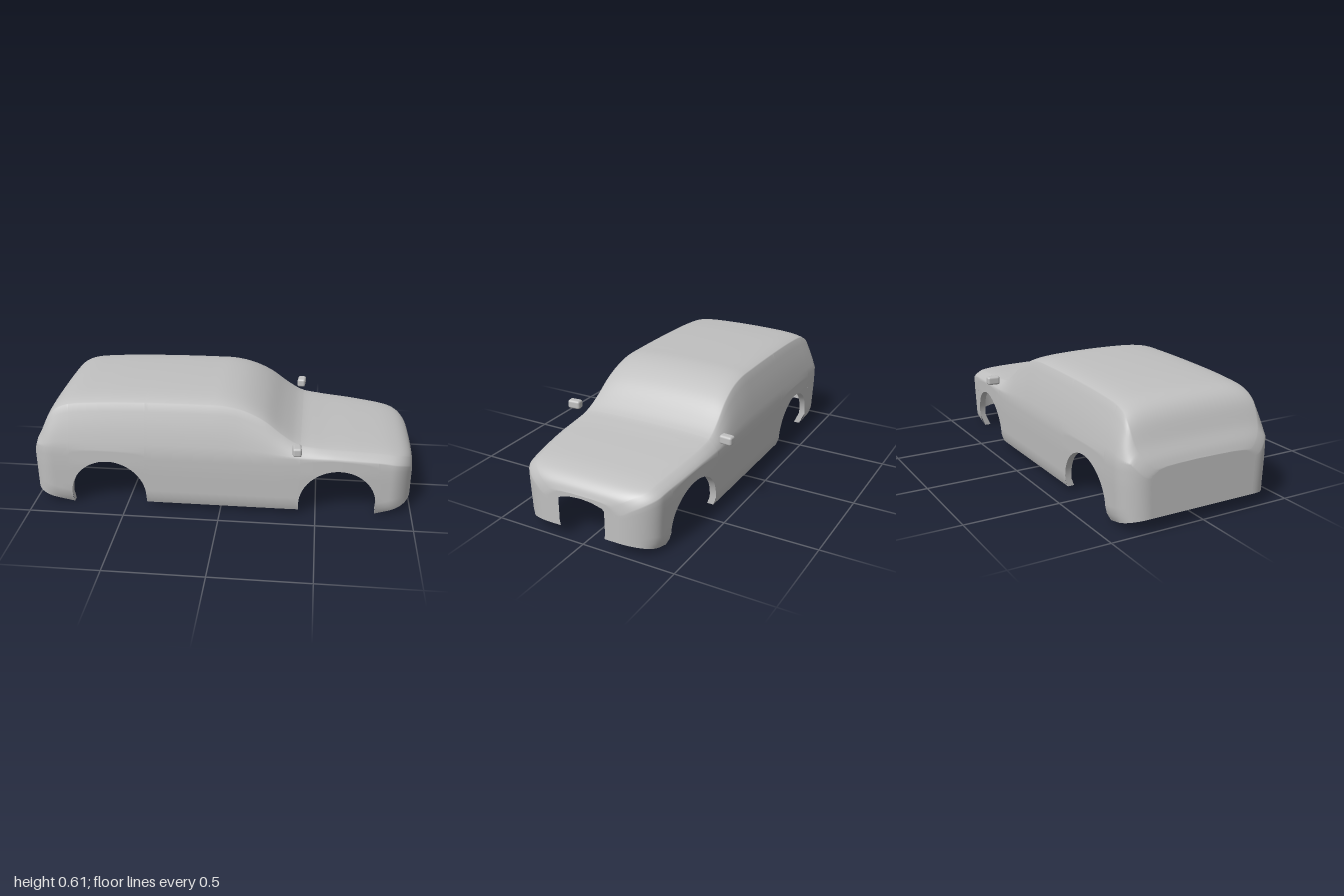
import * as THREE from 'three';
import { mergeGeometries, mergeVertices } from 'three/addons/utils/BufferGeometryUtils.js';
import { RoundedBoxGeometry } from 'three/addons/geometries/RoundedBoxGeometry.js';

// Side profile of the bonnet, windscreen, roof and tailgate: x, y
const PROFILE = new THREE.CatmullRomCurve3([
  [-1, 0.32], [-0.985, 0.355], [-0.95, 0.415], [-0.9, 0.52], [-0.86, 0.563], [-0.8, 0.59], [-0.65, 0.607],
  [-0.4, 0.617], [-0.1, 0.62], [0.02, 0.617], [0.12, 0.595], [0.22, 0.545], [0.32, 0.465], [0.4, 0.415],
  [0.5, 0.397], [0.7, 0.38], [0.88, 0.358], [0.95, 0.335], [0.985, 0.305], [1, 0.27],
].map(([x, y]) => new THREE.Vector3(x, y, 0)), false, 'centripetal').getPoints(400);

const ARCH_RADIUS = 0.2, ARCH_Y = 0.075, REAR_X = -0.59, FRONT_X = 0.61;
const clamp = THREE.MathUtils.clamp;

function topAt(x) {
  let i = 1;
  while (i < PROFILE.length - 1 && PROFILE[i].x < x) i++;
  const a = PROFILE[i - 1], b = PROFILE[i];
  return a.y + (b.y - a.y) * clamp((x - a.x) / (b.x - a.x), 0, 1);
}

// Half width in plan, with elliptical corners at both ends
function widthAt(x) {
  const e = clamp((Math.abs(x) - 0.88) / 0.12, 0, 1);
  const corner = (x > 0 ? 0.16 : 0.12) * (1 - Math.sqrt(1 - e * e));
  const taper = 0.045 * (Math.max(0, x - 0.3) / 0.6) ** 2;
  return 0.417 - taper - corner;
}

// Half width of the flank at a height; it tucks in near the ground
function flank(x, y) {
  return widthAt(x) - 0.05 * Math.max(0, 0.25 - y) - 0.5 * Math.max(0, 0.06 - y);
}

// Cross-section from the left bottom edge over the roof to the right bottom edge
function section({ x, y: bottom }) {
  const top = topAt(x), w = widthAt(x), belt = Math.min(0.34, top - 0.05);
  const k = clamp((top - 0.4) / 0.2, 0, 1);
  const edgeZ = w - 0.047 - 0.018 * k, crown = 0.015 + 0.015 * k;
  const half = [];
  for (let i = 0; i < 8; i++) {
    const y = bottom + (belt - bottom) * i / 8;
    half.push([flank(x, y), y]);
  }
  for (let i = 0; i < 6; i++) {
    const t = i / 6;
    half.push([w + (edgeZ - w) * t + 0.006 * Math.sin(Math.PI * t), belt + (top - crown - belt) * t]);
  }
  for (const s of [1, 0.98, 0.95, 0.91, 0.85, 0.75, 0.6, 0.4, 0.2, 0]) {
    half.push([edgeZ * s, top - crown * (0.4 * s ** 2 + 0.6 * s ** 8)]);
  }
  return [...half, ...half.slice(0, -1).reverse().map(([z, y]) => [-z, y])];
}

// Skin through a run of stations
function skin(stations) {
  const pos = [], idx = [];
  let n = 0;
  stations.forEach((st, i) => {
    const pts = section(st);
    n = pts.length;
    pts.forEach(([z, y]) => pos.push(st.x, y, z));
    if (i === 0) return;
    for (let j = 0; j < n - 1; j++) {
      const a = (i - 1) * n + j, b = a + n;
      idx.push(a, b, a + 1, b, b + 1, a + 1);
    }
  });
  const g = new THREE.BufferGeometry();
  g.setAttribute('position', new THREE.Float32BufferAttribute(pos, 3));
  g.setIndex(idx);
  return g;
}

// Flat end panel, with an optional cut-out rising from the bottom edge
function endPanel(station, cutout) {
  const pts = [...section(station), ...cutout].map(([z, y]) => new THREE.Vector2(z, y));
  const g = new THREE.ShapeGeometry(new THREE.Shape(pts));
  g.deleteAttribute('uv');
  g.deleteAttribute('normal');
  g.rotateY(Math.sign(station.x) * Math.PI / 2);
  g.translate(station.x, 0, 0);
  return g;
}

// Inward flange following a lower edge
function flange(stations, depth, side) {
  const pos = [], idx = [];
  stations.forEach(({ x, y }, i) => {
    const z = flank(x, y);
    pos.push(x, y, side * z, x, y, side * (z - depth));
    if (i === 0) return;
    const a = 2 * i - 2;
    if (side > 0) idx.push(a, a + 1, a + 2, a + 1, a + 3, a + 2);
    else idx.push(a, a + 2, a + 1, a + 1, a + 2, a + 3);
  });
  const g = new THREE.BufferGeometry();
  g.setAttribute('position', new THREE.Float32BufferAttribute(pos, 3));
  g.setIndex(idx);
  g.computeVertexNormals();
  return g;
}

const run = (n, fn) => Array.from({ length: n + 1 }, (_, i) => fn(i / n));

export function createModel() {
  const model = new THREE.Group();
  model.name = 'carBody';
  const paint = new THREE.MeshStandardMaterial({ color: 0xc0c0c0, side: THREE.DoubleSide });
  paint.name = 'grey paint';
  const add = (name, geometry) => {
    const mesh = new THREE.Mesh(geometry, paint);
    mesh.name = name;
    model.add(mesh);
    return mesh;
  };

  // Lower edge, from tail to nose
  const arch = (c) => run(28, (t) => ({
    x: c - ARCH_RADIUS * Math.cos(Math.PI * t), y: ARCH_Y + ARCH_RADIUS * Math.sin(Math.PI * t),
  }));
  const bumper = (end, inner) => run(24, (t) => {
    const e = 1 - Math.cos(t * Math.PI / 2);
    return { x: end + (inner - end) * e, y: 0.075 - 0.068 * Math.pow(e, 0.9) };
  });
  const rearEnd = bumper(-1, REAR_X - ARCH_RADIUS);
  const frontEnd = bumper(1, FRONT_X + ARCH_RADIUS).reverse();
  const rearArch = arch(REAR_X), frontArch = arch(FRONT_X);
  const sillStart = REAR_X + ARCH_RADIUS, sillEnd = FRONT_X - ARCH_RADIUS;
  const sill = run(36, (t) => ({ x: sillStart + (sillEnd - sillStart) * t, y: 0.035 }));

  // Shell with an open grille
  const grille = [[-0.125, 0.075], [-0.13, 0.1], [-0.13, 0.225], [-0.115, 0.236], [-0.06, 0.25], [0, 0.255],
    [0.06, 0.25], [0.115, 0.236], [0.13, 0.225], [0.13, 0.1], [0.125, 0.075]];
  const shell = mergeVertices(mergeGeometries([
    ...[rearEnd, rearArch, sill, frontArch, frontEnd].map(skin),
    endPanel(rearEnd[0], []),
    endPanel(frontEnd[frontEnd.length - 1], grille),
  ]), 1e-4);
  shell.computeVertexNormals();
  add('bodyShell', shell);

  // Wheel arch lips, sill flanges and mirrors
  const rearEdge = [rearEnd[rearEnd.length - 1], ...rearArch, sill[0]];
  const frontEdge = [sill[sill.length - 1], ...frontArch, frontEnd[0]];
  for (const [label, side] of [['left', -1], ['right', 1]]) {
    // The nose points along +x, so the driver's left lies on -z
    add(label + 'RearArchLip', flange(rearEdge, 0.035, side));
    add(label + 'FrontArchLip', flange(frontEdge, 0.035, side));
    add(label + 'SillFlange', flange(sill, 0.012, side));
    const mirror = add(label + 'Mirror', new RoundedBoxGeometry(0.045, 0.047, 0.07, 3, 0.012));
    mirror.position.set(0.395, 0.412, side * 0.455);
    mirror.rotation.y = side * 0.08;
  }
  return model;
}
